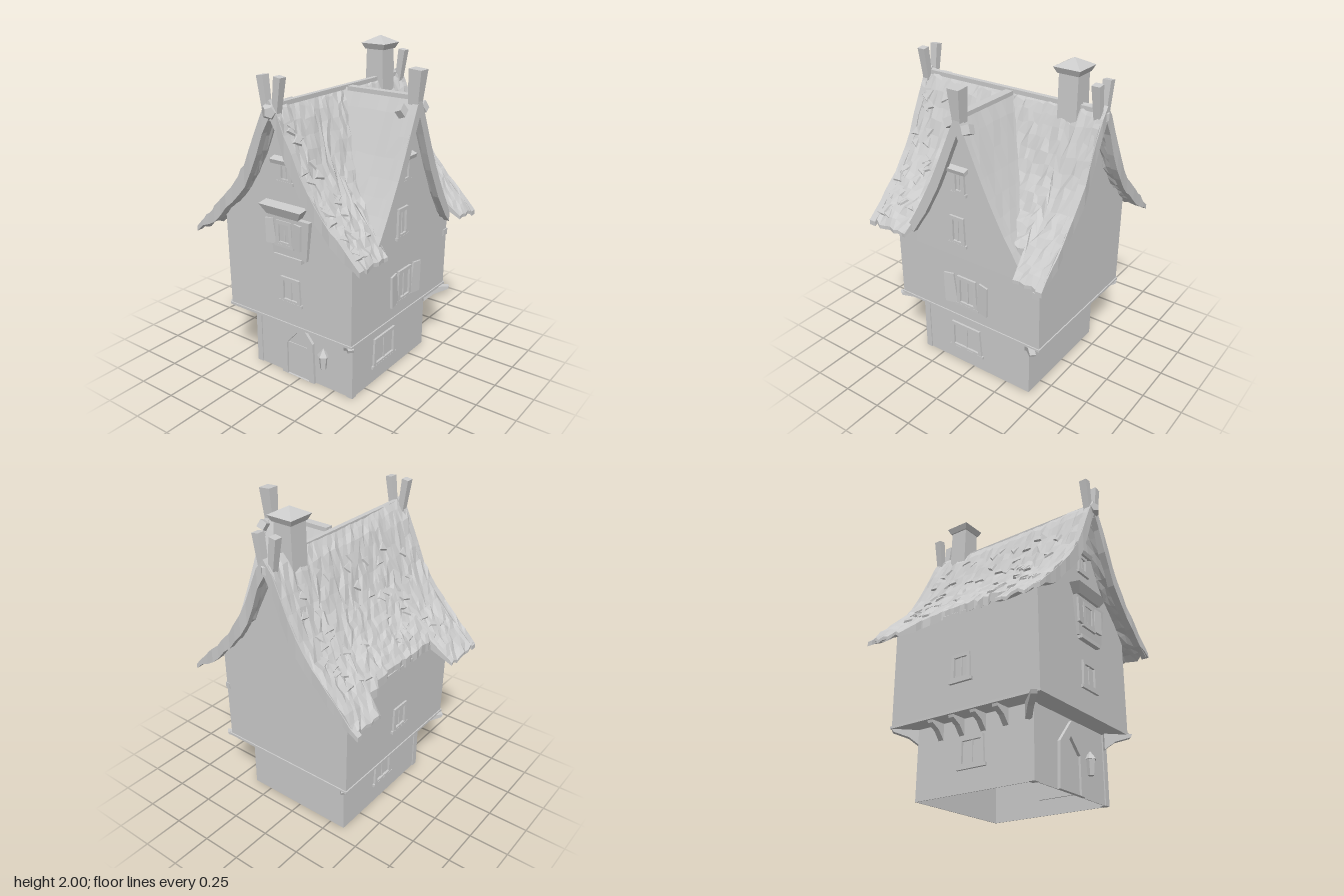
import * as THREE from 'three';

const mat = new THREE.MeshStandardMaterial({ color: 0xcccccc, flatShading: true, side: THREE.DoubleSide });

// Repeatable noise in -1..1
function noise(i, j, k = 0) {
  const s = Math.sin(i * 127.1 + j * 311.7 + k * 74.7) * 43758.5453;
  return (s - Math.floor(s)) * 2 - 1;
}

// Height along a roof profile, by distance from the ridge
function heightOn(profile, d) {
  for (let i = 1; i < profile.length; i++) {
    const [x0, y0] = profile[i - 1], [x1, y1] = profile[i];
    if (d <= x1 || i === profile.length - 1) return y0 + (y1 - y0) * (d - x0) / (x1 - x0);
  }
}
const MAIN = [[0, 1.76], [0.05, 1.7], [0.12, 1.55], [0.2, 1.38], [0.3, 1.23], [0.44, 1.09], [0.6, 0.93]];
const SIDE = [[0, 1.75], [0.05, 1.65], [0.17, 1.38], [0.28, 1.16], [0.41, 0.95]];
const SIDE_Z = -0.04;
const slopeOf = (p, d) => (heightOn(p, d + 0.02) - heightOn(p, Math.max(0, d - 0.02))) / (0.02 + Math.min(d, 0.02));
// Vertical thickness for a layer t thick, thinning beyond distance `from`
const thickness = (p, d, t, from) => t * Math.hypot(1, slopeOf(p, d)) * (1 - 0.65 * THREE.MathUtils.smoothstep(d, from, from + 0.13));

// Closed slab from a top grid and the vertical thickness below it
function slab(nu, nv, top, thick) {
  const T = [], B = [], pos = [];
  for (let i = 0; i <= nu; i++) {
    T.push([]); B.push([]);
    for (let j = 0; j <= nv; j++) {
      const p = top(i / nu, j / nv, i, j);
      T[i].push(p);
      B[i].push([p[0], p[1] - thick(i / nu, j / nv), p[2]]);
    }
  }
  const quad = (a, b, c, d) => pos.push(...a, ...b, ...c, ...a, ...c, ...d);
  for (let i = 0; i < nu; i++) for (let j = 0; j < nv; j++) {
    quad(T[i][j], T[i][j + 1], T[i + 1][j + 1], T[i + 1][j]);
    quad(B[i][j], B[i + 1][j], B[i + 1][j + 1], B[i][j + 1]);
  }
  for (let j = 0; j < nv; j++) {
    quad(T[0][j + 1], T[0][j], B[0][j], B[0][j + 1]);
    quad(T[nu][j], T[nu][j + 1], B[nu][j + 1], B[nu][j]);
  }
  for (let i = 0; i < nu; i++) {
    quad(T[i + 1][nv], T[i][nv], B[i][nv], B[i + 1][nv]);
    quad(T[i][0], T[i + 1][0], B[i + 1][0], B[i][0]);
  }
  const g = new THREE.BufferGeometry();
  g.setAttribute('position', new THREE.Float32BufferAttribute(pos, 3));
  g.computeVertexNormals();
  return g;
}

function add(parent, name, geo, x = 0, y = 0, z = 0, rx = 0, ry = 0, rz = 0) {
  const m = new THREE.Mesh(geo, mat);
  m.name = name;
  m.position.set(x, y, z);
  m.rotation.set(rx, ry, rz);
  parent.add(m);
}
const box = (w, h, d) => new THREE.BoxGeometry(w, h, d);
// Box whose lower end is scaled
function taperedBox(w, h, d, sx, sz = sx) {
  const g = box(w, h, d), p = g.attributes.position;
  for (let i = 0; i < p.count; i++) if (p.getY(i) < 0) p.setXYZ(i, p.getX(i) * sx, p.getY(i), p.getZ(i) * sz);
  g.computeVertexNormals();
  return g;
}
const vectors = pts => pts.map(p => new THREE.Vector2(...p));
const shapeOf = pts => new THREE.Shape(vectors(pts));
const extrude = (s, depth) => new THREE.ExtrudeGeometry(s, { depth, bevelEnabled: false });

// Window: shallow frame, glazing bar and sill, facing local +z
function addWindow(parent, name, w, h, x, y, z, ry, shutters = false) {
  const g = new THREE.Group();
  g.name = name;
  const f = shapeOf([[-w / 2, -h / 2], [w / 2, -h / 2], [w * 0.44, h / 2], [-w * 0.46, h / 2]]);
  const a = w / 2 - 0.025, b = h / 2 - 0.022;
  f.holes.push(new THREE.Path(vectors([[-a, -b], [-a, b], [a, b], [a, -b]])));
  add(g, 'frame', extrude(f, 0.014));
  add(g, 'mullion', box(0.01, h - 0.03, 0.012));
  add(g, 'sill', box(w + 0.02, 0.018, 0.03), 0, -h / 2);
  if (shutters) for (const s of [-1, 1])
    add(g, 'shutter', taperedBox(w * 0.45, h, 0.012, 1.25), s * w * 0.8, 0, 0.012, 0, -s * 0.15, -s * 0.08);
  g.position.set(x, y, z);
  g.rotation.y = ry;
  parent.add(g);
}

// Reach of the main eaves, which are cut back between the corners
function eave(side, z) {
  if (side < 0) return z > 0.32 ? 0.6 : z < -0.38 ? 0.585 : z < -0.28 ? 0.49 : 0.465;
  return z > 0.32 ? 0.575 : z < -0.43 ? 0.59 : 0.46;
}
const sag = z => 0.02 * Math.pow(z / 0.6, 2) - 0.01;

export function createModel() {
  const house = new THREE.Group();
  house.name = 'house';

  // Ground storey: four walls, open below
  const ring = shapeOf([[-0.35, -0.38], [0.38, -0.38], [0.38, 0.42], [-0.35, 0.42]]);
  ring.holes.push(new THREE.Path(vectors([[-0.345, -0.375], [-0.345, 0.415], [0.375, 0.415], [0.375, -0.375]])));
  add(house, 'groundStorey', extrude(ring, 0.43), 0, 0, 0, -Math.PI / 2);

  // Upper storey with front and back gables under the roof curve
  const wall = [[-0.455, 0.42], [0.455, 0.42]];
  for (const d of [0.46, 0.44, 0.3, 0.2, 0.12, 0.05]) wall.push([d, heightOn(MAIN, d) - 0.045]);
  wall.push([0, 1.69]);
  for (const d of [0.05, 0.12, 0.2, 0.3, 0.44, 0.465]) wall.push([-d, heightOn(MAIN, d) - 0.045]);
  add(house, 'upperStorey', extrude(shapeOf(wall), 1.03), 0, 0, -0.535);
  add(house, 'floorBeam', box(0.925, 0.015, 1.045), 0, 0.423, -0.02);

  // Cross gable wall on the side
  const gable = [[-0.38, 0.85], [0.38, 0.85]];
  for (const d of [0.38, 0.28, 0.17, 0.05]) gable.push([d, heightOn(SIDE, d) - 0.04]);
  gable.push([0, 1.69]);
  for (const d of [0.05, 0.17, 0.28, 0.38]) gable.push([-d, heightOn(SIDE, d) - 0.04]);
  add(house, 'sideGableWall', extrude(shapeOf(gable), 0.465), 0, 0, SIDE_Z, 0, Math.PI / 2);

  // Main roof with uneven shingles
  const mainD = (u, z) => Math.abs(u * 2 - 1) * eave(u < 0.5 ? -1 : 1, z);
  const zAt = v => -0.63 + v * 1.23;
  add(house, 'mainRoof', slab(32, 36, (u, v, i, j) => {
    const z = zAt(v), d = mainD(u, z), k = i === 16 ? 0.3 : 1;
    return [Math.sign(u - 0.5) * d + 0.006 * k * noise(i, j, 1),
      heightOn(MAIN, d) + sag(z) + 0.012 * k * noise(i, j),
      z + (j > 0 && j < 36 ? 0.012 * noise(i, j, 2) : 0)];
  }, (u, v) => thickness(MAIN, mainD(u, zAt(v)), 0.04, 0.47)));

  // Cross roof running into the main roof
  add(house, 'sideRoof', slab(16, 8, (u, v, i, j) => {
    const s = 1 - u * 2, d = Math.abs(s) * 0.4;
    return [0.02 + v * 0.5, heightOn(SIDE, d) + 0.005 * noise(i, j, 3), SIDE_Z + s * 0.4];
  }, u => thickness(SIDE, Math.abs(1 - u * 2) * 0.4, 0.04, 0.33)));

  // Bargeboards along the three gable edges, thinning towards the eaves
  for (const [z, right] of [[0.565, 0.585], [-0.637, 0.6]]) {
    const reach = u => Math.abs(u * 2 - 1) * (u < 0.5 ? 0.605 : right);
    add(house, 'bargeboard', slab(24, 1, (u, v, i) =>
      [Math.sign(u - 0.5) * reach(u), heightOn(MAIN, reach(u)) + 0.01 + 0.008 * noise(i, z), z + v * 0.04 + 0.004 * noise(i, v, z)],
    u => thickness(MAIN, reach(u), 0.06, 0.45)));
  }
  add(house, 'sideBargeboard', slab(16, 1, (u, v, i) => {
    const s = 1 - u * 2;
    return [0.487 + v * 0.037, heightOn(SIDE, Math.abs(s) * 0.405) + 0.008 + 0.006 * noise(i, 5), SIDE_Z + s * 0.405];
  }, u => thickness(SIDE, Math.abs(1 - u * 2) * 0.405, 0.055, 0.33)));

  // Chipped shingles scattered over the main roof
  for (let n = 0; n < 80; n++) {
    const s = n % 3 ? -1 : 1;
    const z = s < 0 ? noise(n, 1) * 0.54 : 0.46 + noise(n, 1) * 0.1;
    const d = 0.08 + (noise(n, 2) * 0.5 + 0.5) * (eave(s, z) - 0.12);
    const chip = new THREE.CylinderGeometry(0.03, 0.04, 0.012, 3).rotateY(noise(n, 4) * 3);
    add(house, 'shingle', chip, s * d, heightOn(MAIN, d) + sag(z) + 0.003, z,
      0.15 * noise(n, 3), 0, s * (Math.atan(slopeOf(MAIN, d)) + 0.1));
  }

  // Ridge beams and finials
  add(house, 'ridgeBeam', box(0.03, 0.025, 1.18), 0.01, 1.745, -0.015);
  add(house, 'sideRidgeBeam', box(0.46, 0.025, 0.05), 0.28, 1.745, SIDE_Z);
  for (const z of [0.58, -0.6]) {
    for (const s of [-1, 1]) add(house, 'finial', taperedBox(0.045, 0.24, 0.05, 0.75), s * 0.042, 1.78, z, 0, 0, -s * 0.14);
    add(house, 'finialKnot', new THREE.DodecahedronGeometry(0.05), 0, 1.715, z + (z > 0 ? 0.01 : 0));
  }
  add(house, 'sideFinial', taperedBox(0.08, 0.24, 0.075, 0.75, 0.55), 0.495, 1.78, SIDE_Z, 0, 0, -0.07);
  add(house, 'sideFinialKnot', box(0.04, 0.05, 0.06), 0.46, 1.68, 0.05, 0.5, 0.2, 0.3);
  add(house, 'sideFinialKnot', box(0.05, 0.05, 0.05), 0.5, 1.68, -0.1, 0.4, 0.2, 0.3);

  // Chimney with a pyramid cap
  add(house, 'chimney', taperedBox(0.115, 0.34, 0.12, 1.15, 1), 0, 1.76, -0.425);
  add(house, 'chimneyRim', taperedBox(0.165, 0.035, 0.165, 0.8), 0, 1.938, -0.425);
  add(house, 'chimneyCap', new THREE.ConeGeometry(0.117, 0.045, 4), 0, 1.978, -0.425, 0, Math.PI / 4);

  // Door with a pointed frame
  const door = new THREE.Group();
  door.name = 'door';
  const arch = shapeOf([[-0.14, 0], [-0.13, 0.26], [-0.01, 0.4], [0.1, 0.27], [0.11, 0]]);
  arch.holes.push(new THREE.Path(vectors([[-0.1, 0.001], [0.07, 0.001], [0.07, 0.22], [-0.02, 0.31], [-0.1, 0.22]])));
  add(door, 'doorFrame', extrude(arch, 0.02));
  add(door, 'doorLeaf', box(0.17, 0.22, 0.008), -0.015, 0.11, 0.003);
  door.position.z = 0.378;
  house.add(door);

  // Lantern and front corner posts
  add(house, 'lantern', new THREE.CylinderGeometry(0.03, 0.02, 0.09, 5), 0.18, 0.18, 0.395);
  add(house, 'lanternCap', new THREE.ConeGeometry(0.038, 0.05, 5), 0.18, 0.25, 0.395);
  for (const x of [-0.337, 0.367]) add(house, 'cornerPost', box(0.04, 0.42, 0.04), x, 0.21, 0.367);

  // Brackets beneath the overhang, long diagonal ones at the corners
  const wedge = (l = 0.1) => extrude(shapeOf([[0, 0], [l, 0], [l * 0.95, -0.02], [l * 0.4, -0.05], [0, -0.1]]), 0.035);
  for (const [x, z, a] of [[-0.35, 0.37, 1.25], [0.36, 0.38, 1.75], [-0.34, -0.41, 0.75], [0.37, -0.42, 0.25]])
    add(house, 'cornerBracket', wedge(0.17), x, 0.42, z, 0, (a > 1 ? a - (a > 1.5 ? 0 : 2) : a) * Math.PI);
  for (const z of [0.22, 0.07, -0.08, -0.23])
    add(house, 'leftBracket', wedge(), -0.35, 0.42, z, 0, Math.PI);
  for (let i = 0; i < 5; i++) add(house, 'backBracket', wedge(), -0.27 + i * 0.133, 0.42, -0.42, 0, Math.PI / 2);

  // Front bay and its canopy
  add(house, 'bay', taperedBox(0.3, 0.24, 0.08, 0.8, 0.7), 0.04, 0.99, 0.485);
  add(house, 'bayCanopy', taperedBox(0.3, 0.06, 0.13, 0.75), 0.01, 1.15, 0.495, 0.15);
  add(house, 'baySill', box(0.2, 0.025, 0.08), 0.03, 0.862, 0.485);

  // Windows
  const R = Math.PI / 2;
  addWindow(house, 'bayWindow', 0.12, 0.15, 0.01, 1.01, 0.515, 0, true);
  addWindow(house, 'atticWindow', 0.1, 0.12, 0.01, 1.36, 0.495, 0);
  add(house, 'atticHood', box(0.14, 0.025, 0.05), 0, 1.43, 0.51, 0.3);
  addWindow(house, 'frontWindow', 0.15, 0.16, 0.03, 0.65, 0.495, 0);
  addWindow(house, 'sideGroundWindow', 0.24, 0.19, 0.38, 0.2, 0.05, R);
  addWindow(house, 'sideUpperWindow', 0.15, 0.2, 0.458, 0.62, -0.03, R, true);
  addWindow(house, 'sideGableWindow', 0.11, 0.18, 0.465, 1.03, 0.02, R);
  addWindow(house, 'sideAtticWindow', 0.09, 0.14, 0.465, 1.34, 0.0, R);
  add(house, 'sideAtticHood', box(0.05, 0.025, 0.13), 0.475, 1.42, 0, 0, 0, -0.3);
  addWindow(house, 'leftGroundWindow', 0.18, 0.17, -0.35, 0.22, -0.02, -R);
  addWindow(house, 'leftUpperWindow', 0.14, 0.16, -0.459, 0.67, -0.02, -R);
  add(house, 'beamEnd', box(0.03, 0.04, 0.05), 0.45, 0.79, -0.515);
  return house;
}
